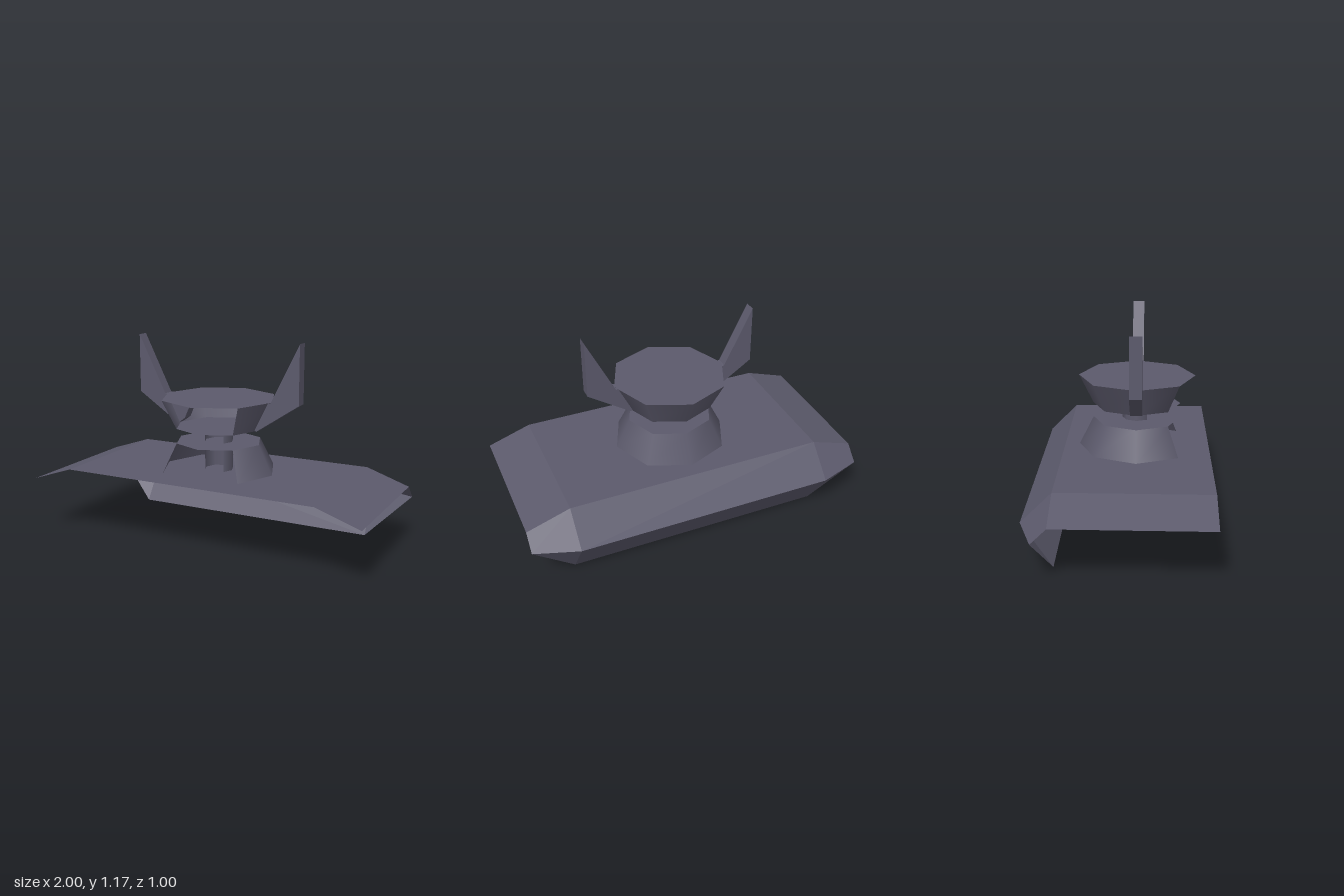
import * as THREE from 'three';

const material = new THREE.MeshStandardMaterial({ color: 0x5c5a6c, side: THREE.DoubleSide });
const flatMaterial = material.clone();
flatMaterial.flatShading = true;

// Thin folded sheet: each row is a cross-section running from -x to +x
function foldedSheet(rows) {
  const positions = [];
  const triangle = (a, b, c) => {
    const same = (p, q) => p.every((v, k) => v === q[k]);
    if (!same(a, b) && !same(b, c) && !same(c, a)) positions.push(...a, ...b, ...c);
  };
  for (let r = 0; r < rows.length - 1; r++) {
    const near = rows[r], far = rows[r + 1];
    for (let i = 0; i < near.length - 1; i++) {
      triangle(near[i], near[i + 1], far[i + 1]);
      triangle(near[i], far[i + 1], far[i]);
    }
  }
  const geometry = new THREE.BufferGeometry();
  geometry.setAttribute('position', new THREE.Float32BufferAttribute(positions, 3));
  geometry.computeVertexNormals();
  return geometry;
}

// Symmetric row from its outer and inner points [x, y, z]
function mirroredRow(outer, inner) {
  const flip = ([x, y, z]) => [-x, y, z];
  return [flip(outer), flip(inner), inner, outer];
}

// Eight-sided tower section whose two front walls are left open
function towerSection(name, rTop, rBottom, y0, y1, caps) {
  const group = new THREE.Group();
  group.name = name;
  const wall = new THREE.Mesh(
    new THREE.CylinderGeometry(rTop, rBottom, y1 - y0, 6, 1, true, Math.PI / 4, Math.PI * 1.5), material);
  wall.name = name + 'Wall';
  wall.position.y = (y0 + y1) / 2;
  group.add(wall);
  for (const end of caps) {
    const top = end === 'Top';
    const cap = new THREE.Mesh(new THREE.CircleGeometry(top ? rTop : rBottom, 8), flatMaterial);
    cap.name = name + end;
    cap.rotation.x = top ? -Math.PI / 2 : Math.PI / 2;
    cap.position.y = top ? y1 : y0;
    group.add(cap);
  }
  return group;
}

export function createModel() {
  const model = new THREE.Group();
  model.name = 'towerPlatform';

  // Deck with drooping side edges and a tail folded down and under
  const deck = new THREE.Mesh(foldedSheet([
    mirroredRow([1, 0.333, 0.5], [0.75, 0.417, 0.5]),
    mirroredRow([1, 0.333, -0.333], [0.75, 0.417, -0.333]),
    mirroredRow([1, 0.25, -0.417], [0.75, 0.25, -0.5]),
    mirroredRow([0.75, 0, -0.333], [0.75, 0, -0.333]),
  ]), flatMaterial);
  deck.name = 'deck';
  model.add(deck);

  // Tower: pedestal, stem and flared head
  const tower = new THREE.Group();
  tower.name = 'tower';
  tower.position.z = 0.083;
  tower.add(
    towerSection('pedestal', 0.25, 0.333, 0.417, 0.583, ['Top']),
    towerSection('stem', 0.083, 0.083, 0.417, 0.667, []),
    towerSection('head', 0.333, 0.25, 0.667, 0.833, ['Top', 'Bottom']),
  );
  model.add(tower);

  // Pair of upright fins on the sides of the head
  const finShape = new THREE.Shape(
    [[0.5, 1.167], [0.333, 0.833], [0.16, 0.8], [0.205, 0.7], [0.25, 0.667], [0.5, 0.833]]
      .map(([x, y]) => new THREE.Vector2(x, y)));
  const finGeometry = new THREE.ExtrudeGeometry(finShape, { depth: 0.067, bevelEnabled: false });
  finGeometry.translate(0, 0, -0.0335);
  for (const [name, turn] of [['leftFin', 0], ['rightFin', Math.PI]]) {
    const fin = new THREE.Mesh(finGeometry, flatMaterial);
    fin.name = name;
    fin.rotation.y = turn;
    tower.add(fin);
  }

  return model;
}
